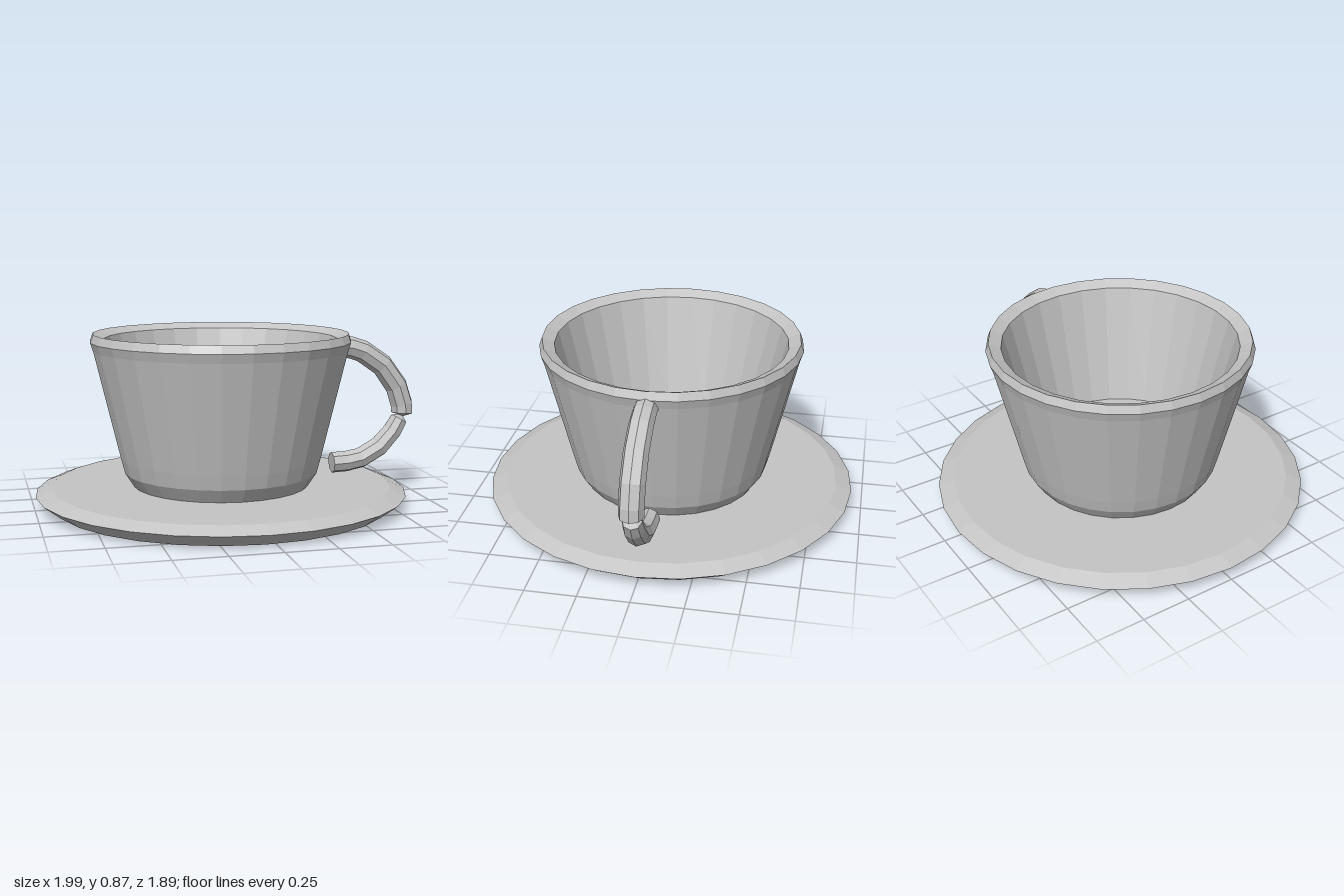
import * as THREE from 'three';

const SIDES = 28;
const CENTRE_X = -0.05;

// Faceted solid of revolution from [radius, height] points, bottom to top
function turned(name, profile, material) {
  const points = profile.map(([r, y]) => new THREE.Vector2(r, y));
  const mesh = new THREE.Mesh(new THREE.LatheGeometry(points, SIDES), material);
  mesh.name = name;
  mesh.position.x = CENTRE_X;
  return mesh;
}

// Eight-sided tube through [x, y, radius] stations in the z = 0 plane
function sweep(name, stations, material) {
  const sides = 8, positions = [], index = [];
  const last = stations.length - 1;
  stations.forEach(([x, y, r], i) => {
    const a = stations[Math.max(i - 1, 0)], b = stations[Math.min(i + 1, last)];
    const length = Math.hypot(b[0] - a[0], b[1] - a[1]);
    const nx = -(b[1] - a[1]) / length, ny = (b[0] - a[0]) / length;
    for (let j = 0; j < sides; j++) {
      const t = (j / sides) * Math.PI * 2;
      positions.push(x + nx * r * Math.cos(t), y + ny * r * Math.cos(t), r * Math.sin(t));
    }
  });
  for (let i = 0; i < last; i++) {
    for (let j = 0; j < sides; j++) {
      const p = i * sides + j, q = i * sides + (j + 1) % sides;
      index.push(p, p + sides, q, q, p + sides, q + sides);
    }
  }
  // End caps
  for (let j = 1; j < sides - 1; j++) {
    const e = last * sides;
    index.push(0, j, j + 1, e, e + j + 1, e + j);
  }
  const geometry = new THREE.BufferGeometry();
  geometry.setAttribute('position', new THREE.Float32BufferAttribute(positions, 3));
  geometry.setIndex(index);
  geometry.computeVertexNormals();
  const mesh = new THREE.Mesh(geometry, material);
  mesh.name = name;
  return mesh;
}

export function createModel() {
  const group = new THREE.Group();
  group.name = 'cupAndSaucer';
  const china = new THREE.MeshStandardMaterial({ color: 0xc4c4c4 });
  china.name = 'greyChina';
  china.flatShading = true;
  china.side = THREE.DoubleSide;

  // Saucer with a bevelled rim
  group.add(turned('saucer', [[0, 0], [0.86, 0], [0.945, 0.065], [0.865, 0.096], [0, 0.096]], china));

  // Cup: foot, wall, lip, inside wall and floor
  group.add(turned('cup', [
    [0.45, 0.096], [0.495, 0.165], [0.515, 0.24], [0.645, 0.785], [0.66, 0.83],
    [0.645, 0.87], [0.585, 0.842], [0.435, 0.24], [0, 0.24],
  ], china));

  // Handle, pinched between its two arcs
  group.add(sweep('handle', [
    [0.57, 0.787, 0.056], [0.64, 0.778, 0.057], [0.71, 0.755, 0.058], [0.82, 0.68, 0.059],
    [0.902, 0.568, 0.06], [0.935, 0.47, 0.06], [0.938, 0.424, 0.06], [0.932, 0.408, 0.015],
    [0.923, 0.39, 0.047], [0.885, 0.325, 0.052], [0.812, 0.245, 0.055],
    [0.71, 0.188, 0.055], [0.63, 0.173, 0.055], [0.55, 0.17, 0.055],
  ], china));

  return group;
}
